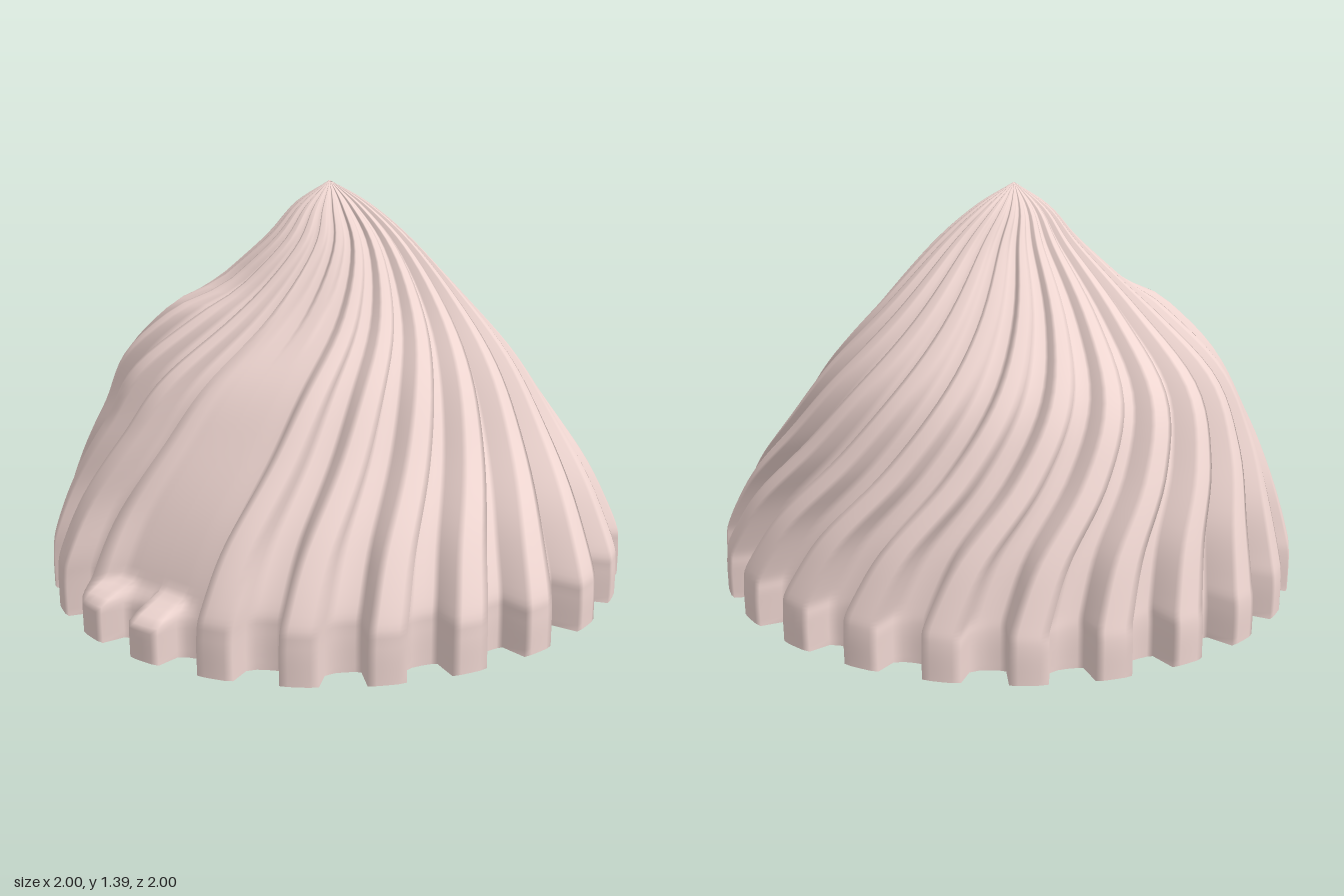
import * as THREE from 'three';

const RIDGES = 24, ROWS = 48, DEG = Math.PI / 180;
const step = THREE.MathUtils.smoothstep;

// outline: radius, height, twist in degrees, axis drift in x, axis drift in z
const OUTLINE = [
  [1.0, 0.02, 0, 0, 0], [1.0, 0.14, 0, 0, 0], [0.985, 0.22, 0.5, 0, 0],
  [0.91, 0.4, 4, -0.02, -0.02], [0.795, 0.6, 12, -0.055, -0.04],
  [0.665, 0.8, 20, -0.07, -0.05], [0.46, 1.0, 29, -0.04, -0.05],
  [0.255, 1.2, 37, -0.01, -0.03], [0.13, 1.32, 41, -0.02, -0.01], [0.002, 1.4, 45, -0.02, 0.01],
];
const sweep = new THREE.CatmullRomCurve3(OUTLINE.map(p => new THREE.Vector3(p[0], p[1], p[2])), false, 'catmullrom', 0.5);
const axis = new THREE.CatmullRomCurve3(OUTLINE.map(p => new THREE.Vector3(p[3], 0, p[4])), false, 'catmullrom', 0.5);

// one ridge: angle within its 15 degrees, height from groove (0) to crest (1)
const RIDGE = [[0.3, 0.05], [1.5, 0], [3.5, 0], [5.5, 0.05], [7.2, 0.22], [8, 0.95], [9.5, 1], [11.5, 1], [13.3, 1], [14.8, 0.97]];
const COLS = RIDGES * RIDGE.length;

function surfacePoint(row, col) {
  const t = row / ROWS;
  const p = sweep.getPoint(t), c = axis.getPoint(t);
  const [u, crest] = RIDGE[col % RIDGE.length];
  const phi = Math.floor(col / RIDGE.length) * 15 + u; // angle at the base
  const angle = phi - p.z;
  let factor = 0.9 + 0.1 * crest;

  // smooth dent where two ridges are pressed in above the base
  const dent = step(phi, 89.5, 93) * (1 - step(phi, 116, 122))
    * step(p.y, 0.13, 0.2) * (1 - step(p.y, 0.85, 1.25));
  const hollow = 0.9 - 0.035 * Math.sin(Math.PI * THREE.MathUtils.clamp((phi - 90) / 31, 0, 1));
  factor = THREE.MathUtils.lerp(factor, hollow, dent);

  // swollen shoulder beside the dent, ending in a small ledge
  const swell = 0.085 * Math.exp(-(((angle - 138) / 22) ** 2)) * step(p.y, 0.6, 0.97) * (1 - step(p.y, 0.98, 1.07));
  const r = p.x * factor + swell;
  const x = c.x + r * Math.cos(angle * DEG), z = c.z + r * Math.sin(angle * DEG);
  const tilt = Math.max(0, 1 - p.y / 0.3);
  return [x, p.y + tilt * (0.01 * x - 0.02 * z + 0.007), z];
}

function makeGeometry(positions, index) {
  const g = new THREE.BufferGeometry();
  g.setAttribute('position', new THREE.Float32BufferAttribute(positions, 3));
  g.setIndex(index);
  g.computeVertexNormals();
  return g;
}

export function createModel() {
  const group = new THREE.Group();
  group.name = 'twistedSwirl';
  const material = new THREE.MeshStandardMaterial({ color: 0xefd6d1 });

  // ribbed, twisted body
  const points = [], faces = [];
  for (let i = 0; i <= ROWS; i++) {
    for (let j = 0; j < COLS; j++) {
      points.push(...surfacePoint(i, j));
      if (i === ROWS) continue;
      const k = (j + 1) % COLS;
      const a = i * COLS + j, b = i * COLS + k;
      faces.push(a, a + COLS, b, b, a + COLS, b + COLS);
    }
  }
  const body = new THREE.Mesh(makeGeometry(points, faces), material);
  body.name = 'ribbedBody';
  group.add(body);

  // underside closing the toothed rim
  const rim = points.slice(0, COLS * 3), fan = [];
  rim.push(0, 0.027, 0);
  for (let j = 0; j < COLS; j++) fan.push(COLS, j, (j + 1) % COLS);
  const base = new THREE.Mesh(makeGeometry(rim, fan), material);
  base.name = 'underside';
  group.add(base);

  return group;
}
